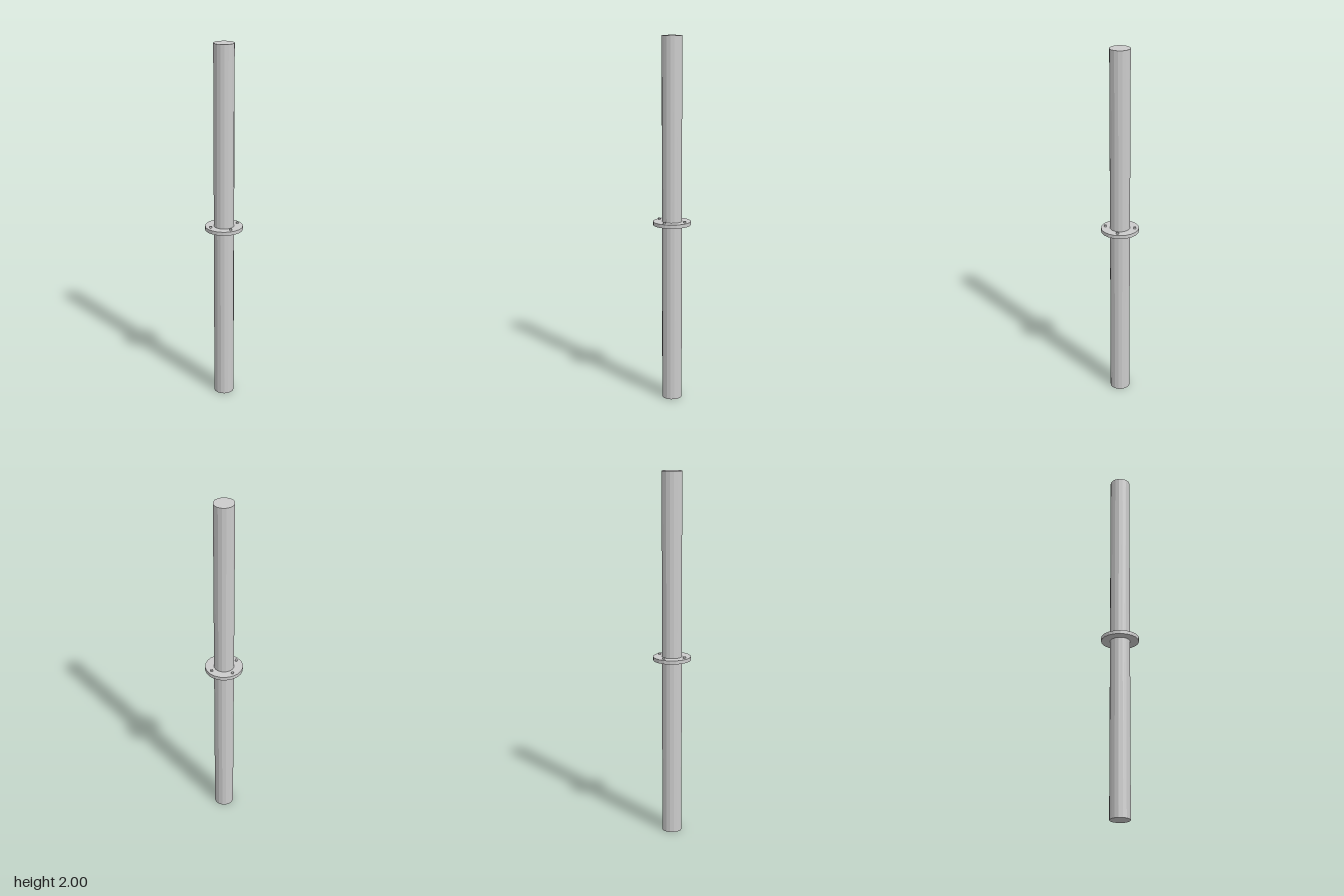
import * as THREE from 'three';

export function createModel() {
  const group = new THREE.Group();
  const material = new THREE.MeshStandardMaterial({ color: 0xcccccc, flatShading: true });

  // Upright cylinder between two heights
  function addCylinder(name, radius, bottom, top, sides, x = 0, z = 0) {
    const geometry = new THREE.CylinderGeometry(radius, radius, top - bottom, sides);
    const mesh = new THREE.Mesh(geometry, material);
    mesh.name = name;
    mesh.position.set(x, (bottom + top) / 2, z);
    group.add(mesh);
  }

  // Full-height pole
  addCylinder('pole', 0.055, 0, 2, 16);

  // Round flange around the middle of the pole
  addCylinder('flange', 0.103, 0.987, 1.007, 20);

  // Four bolt heads standing on the flange
  for (const x of [-1, 1]) {
    for (const z of [-1, 1]) {
      addCylinder('bolt', 0.007, 1.0, 1.016, 12, x * 0.057, z * 0.057);
    }
  }

  return group;
}
